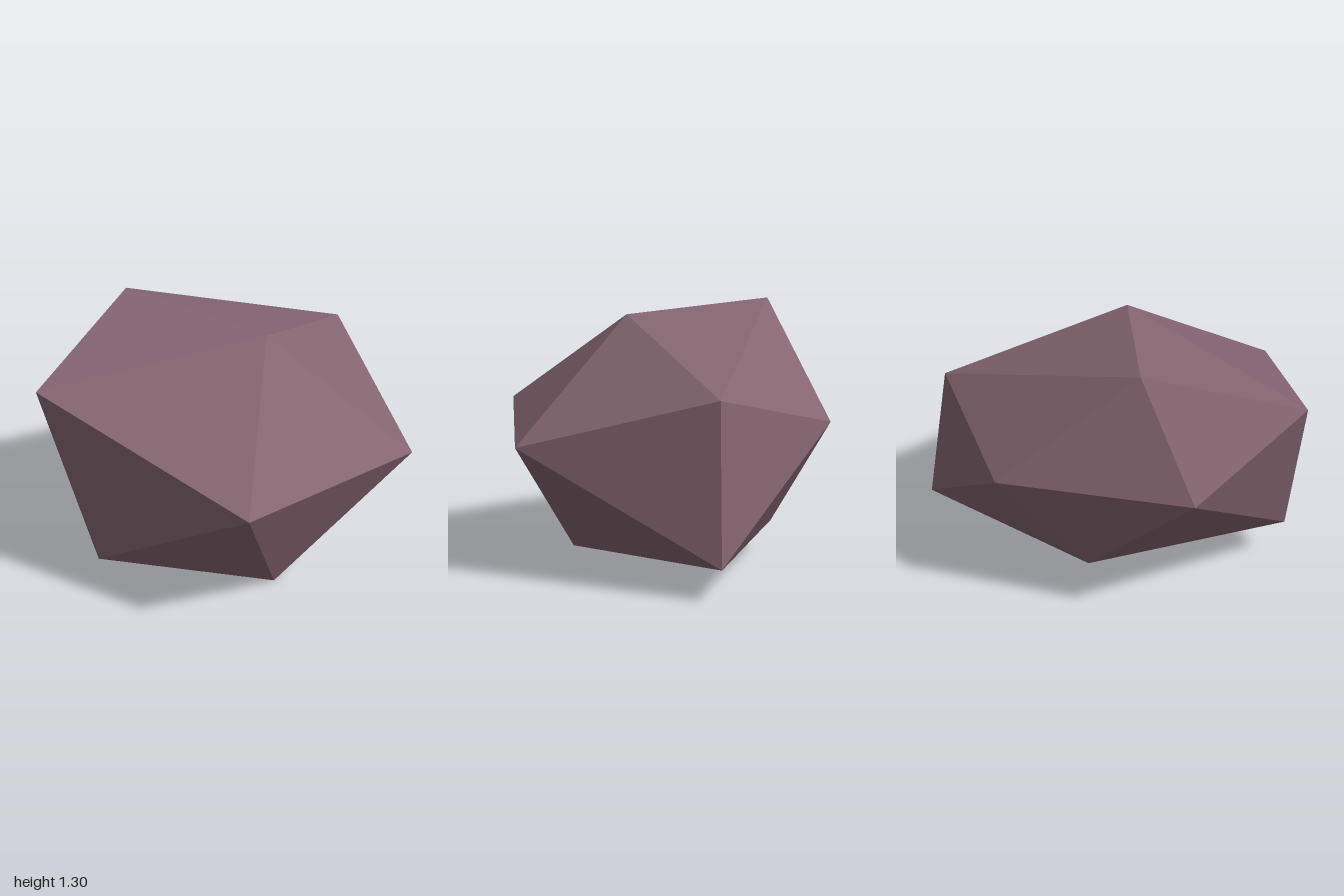
import * as THREE from 'three';

// A faceted rock: a crown point, two rings of five corners, and a base point.
export function createModel() {
  const crown = [-0.25, 1.3, -0.55];
  const upper = [
    [0, 1.24, 0.22], [0.87, 0.915, -0.13], [0.41, 0.735, -0.75],
    [-0.57, 0.795, -0.8], [-1, 1.09, -0.31],
  ];
  const lower = [
    [0.46, 0.645, 0.8], [1, 0.155, -0.12], [0.015, 0.155, -0.53],
    [-0.9, 0.215, -0.025], [-0.64, 0.74, 0.79],
  ];
  const base = [-0.185, 0, 0.49];

  // Cap, zigzag belt and underside, one fifth at a time
  const corners = [];
  for (let i = 0; i < 5; i++) {
    const j = (i + 1) % 5;
    corners.push(
      crown, upper[i], upper[j],
      upper[i], lower[i], upper[j],
      lower[i], lower[j], upper[j],
      base, lower[j], lower[i],
    );
  }

  const geometry = new THREE.BufferGeometry();
  geometry.setAttribute('position', new THREE.Float32BufferAttribute(corners.flat(), 3));
  geometry.computeVertexNormals(); // unshared corners give flat facets

  const stone = new THREE.MeshStandardMaterial({ color: 0x846570, flatShading: true });
  stone.name = 'mauve stone';

  const rock = new THREE.Mesh(geometry, stone);
  rock.name = 'rock';

  const model = new THREE.Group();
  model.name = 'facetedRock';
  model.add(rock);
  return model;
}
